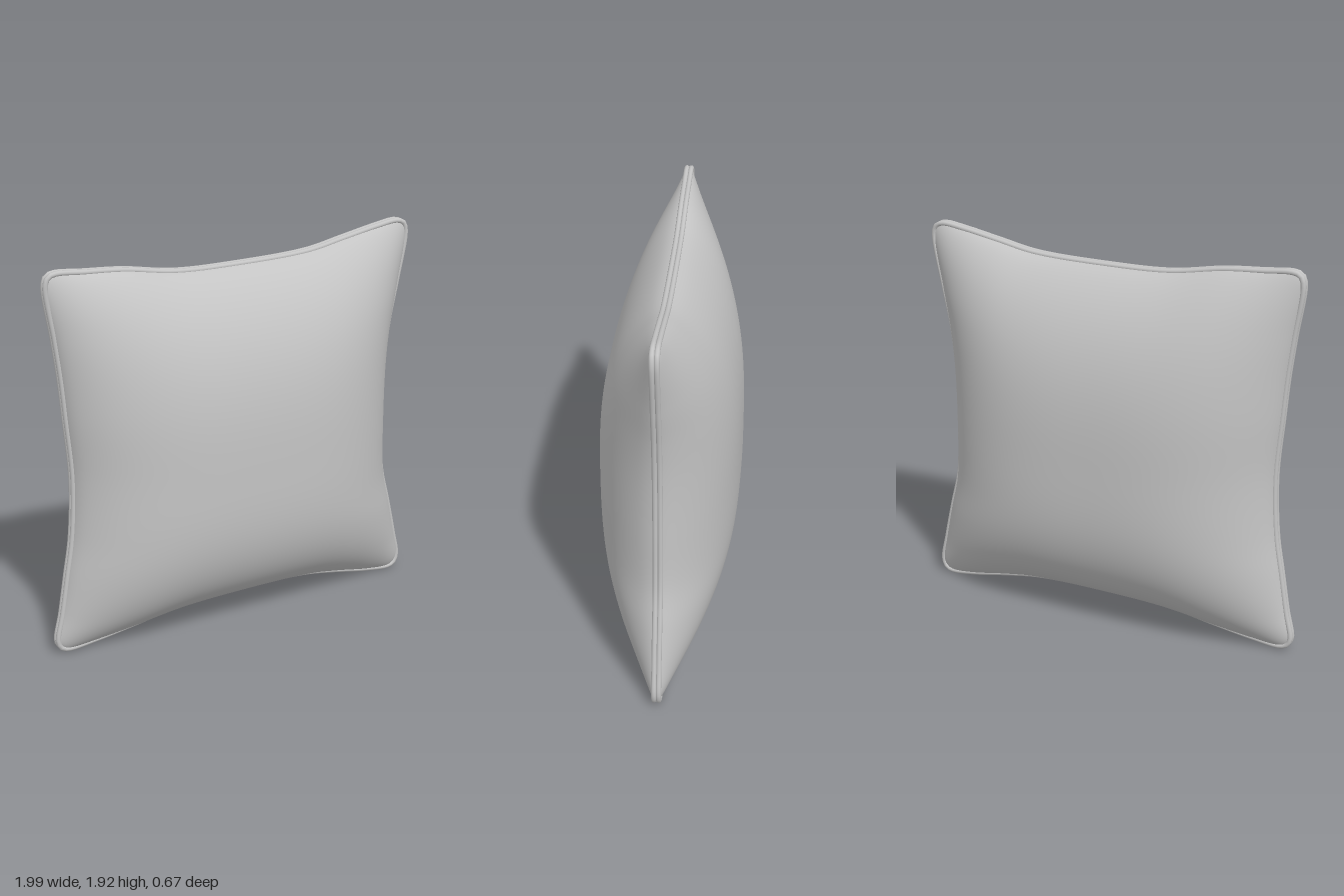
import * as THREE from 'three';

const CENTER_Y = 0.96;
const SEAM = 0.013; // radius of each piped edge
const GRID = 72;

// Outline of the cushion, corner to corner; each side bows inward
const SIDES = {
  bottom: [[-0.985, 0.025], [-0.95, 0.01], [-0.8, 0.022], [-0.6, 0.05], [-0.35, 0.088], [0, 0.1],
    [0.4, 0.09], [0.6, 0.058], [0.8, 0.018], [0.94, 0.003], [0.975, 0.017]],
  right: [[0.975, 0.017], [0.992, 0.06], [0.965, 0.2], [0.92, 0.4], [0.873, 0.6], [0.861, 0.9],
    [0.867, 1.2], [0.89, 1.4], [0.93, 1.6], [0.975, 1.86], [0.96, 1.905]],
  top: [[-0.975, 1.9], [-0.94, 1.912], [-0.8, 1.9], [-0.6, 1.882], [-0.33, 1.836], [0, 1.825],
    [0.4, 1.835], [0.6, 1.87], [0.8, 1.906], [0.92, 1.92], [0.96, 1.905]],
  left: [[-0.985, 0.025], [-1, 0.06], [-0.972, 0.2], [-0.938, 0.4], [-0.905, 0.6], [-0.89, 0.9],
    [-0.913, 1.2], [-0.93, 1.4], [-0.955, 1.6], [-0.99, 1.86], [-0.975, 1.9]],
};

// Pull the outline in so the piping's outer face lands on it
const inset = ([x, y]) => new THREE.Vector3(x * 0.986, CENTER_Y + (y - CENTER_Y) * 0.986, 0);

const curves = {};
for (const [name, points] of Object.entries(SIDES)) {
  curves[name] = new THREE.CatmullRomCurve3(points.map(inset), false, 'centripetal');
}

// Stuffing height over the panel, fullest a little below the middle
function bulge(s, t) {
  const u = 2 * s - 1;
  let v = 2 * t - 1;
  v += 0.1 * (1 - v * v);
  const arch = (w) => Math.pow(Math.max(0, 1 - Math.abs(w) ** 3), 0.7);
  return 0.325 * arch(u) * arch(v);
}

// One fabric panel: a patch blended between the four sides, then puffed out
function panelGeometry(direction) {
  const params = Array.from({ length: GRID + 1 }, (_, i) => 0.5 - 0.5 * Math.cos((Math.PI * i) / GRID));
  const sample = (curve) => params.map((p) => curve.getPointAt(p));
  const bottom = sample(curves.bottom), top = sample(curves.top);
  const left = sample(curves.left), right = sample(curves.right);
  const [c00, c10, c01, c11] = [bottom[0], bottom[GRID], top[0], top[GRID]];
  const positions = [], indices = [];

  for (let j = 0; j <= GRID; j++) {
    for (let i = 0; i <= GRID; i++) {
      const s = params[i], t = params[j];
      const blend = (k) => (1 - t) * bottom[i][k] + t * top[i][k] + (1 - s) * left[j][k] + s * right[j][k]
        - (1 - s) * (1 - t) * c00[k] - s * (1 - t) * c10[k] - (1 - s) * t * c01[k] - s * t * c11[k];
      positions.push(blend('x'), blend('y'), direction * (SEAM * 0.85 + bulge(s, t)));
      if (i < GRID && j < GRID) {
        const a = j * (GRID + 1) + i, b = a + 1, d = a + GRID + 1, c = d + 1;
        if (direction > 0) indices.push(a, b, c, a, c, d);
        else indices.push(a, c, b, a, d, c);
      }
    }
  }
  const geometry = new THREE.BufferGeometry();
  geometry.setAttribute('position', new THREE.Float32BufferAttribute(positions, 3));
  geometry.setIndex(indices);
  geometry.computeVertexNormals();
  return geometry;
}

// Closed piping that follows the whole outline
function pipingGeometry() {
  const loop = [
    ...SIDES.bottom.slice(0, -1),
    ...SIDES.right.slice(0, -1),
    ...SIDES.top.slice(1).reverse(),
    ...SIDES.left.slice(1).reverse(),
  ].map(inset);
  return new THREE.TubeGeometry(new THREE.CatmullRomCurve3(loop, true, 'centripetal'), 320, SEAM, 10, true);
}

export function createModel() {
  const fabric = new THREE.MeshStandardMaterial({ color: 0xc4c4c4 });
  fabric.name = 'grey fabric';

  const cushion = new THREE.Group();
  cushion.name = 'cushion';
  const piping = pipingGeometry();

  for (const [name, direction] of [['front', 1], ['back', -1]]) {
    const panel = new THREE.Mesh(panelGeometry(direction), fabric);
    panel.name = `${name}Panel`;

    // The two edges sit side by side, leaving the seam groove between them
    const edge = new THREE.Mesh(piping, fabric);
    edge.name = `${name}Piping`;
    edge.position.z = direction * SEAM * 0.85;
    cushion.add(panel, edge);
  }
  return cushion;
}
